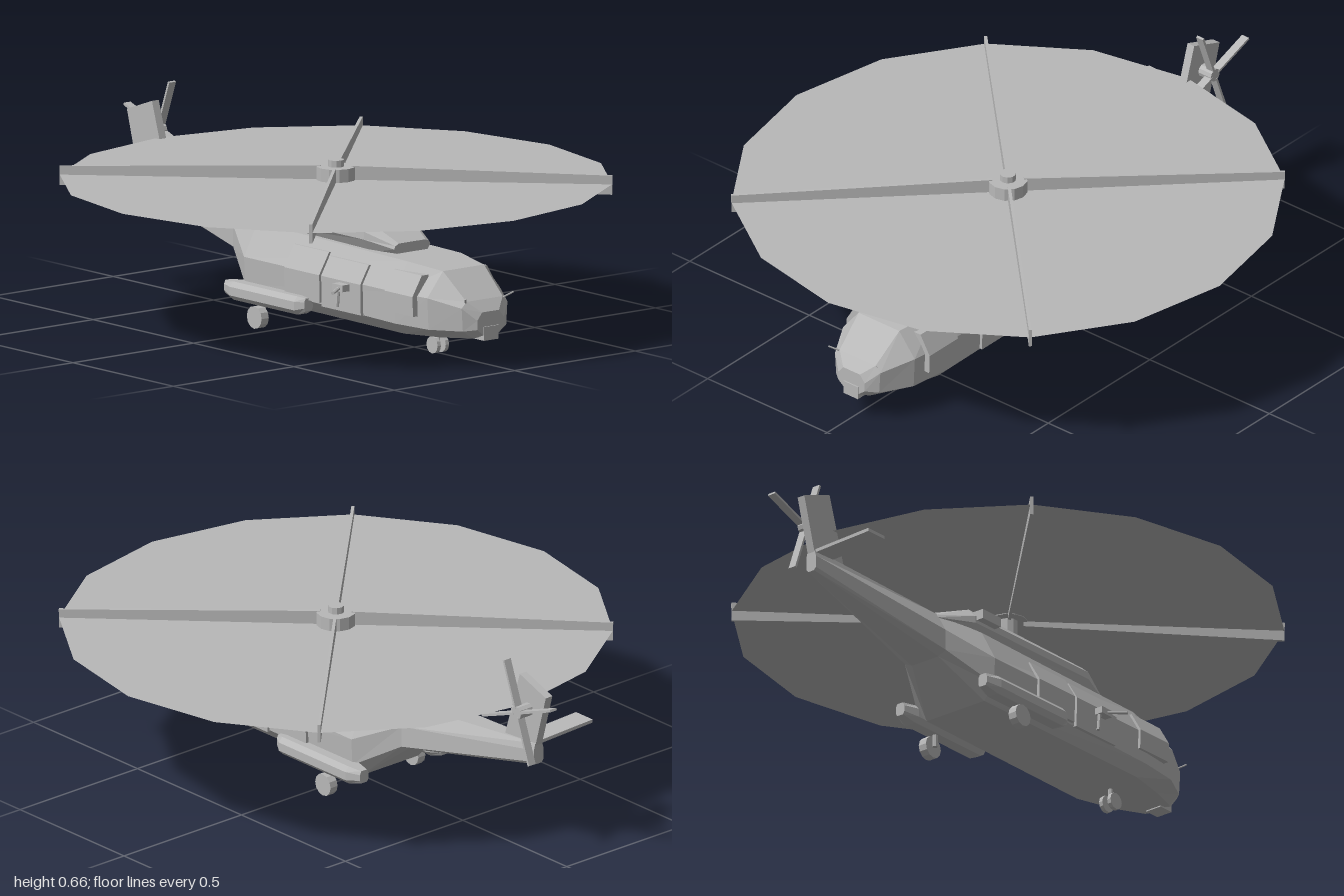
import * as THREE from 'three';

const grey = new THREE.MeshStandardMaterial({ color: 0xb8b8b8, flatShading: true });
const greyTwoSided = new THREE.MeshStandardMaterial({ color: 0xb8b8b8, flatShading: true, side: THREE.DoubleSide });

// Loft of symmetric rings; each station is [z, [x, y] ... up the left side], ordered front to back
function loft(stations) {
  const pos = [], idx = [], n = (stations[0].length - 1) * 2;
  for (const [z, ...half] of stations) {
    for (const [x, y] of half) pos.push(x, y, z);
    for (const [x, y] of half.slice().reverse()) pos.push(-x, y, z);
  }
  for (let i = 0; i < stations.length - 1; i++) {
    for (let k = 0; k < n; k++) {
      const a = i * n + k, b = i * n + (k + 1) % n, c = b + n, d = a + n;
      idx.push(a, d, c, a, c, b);
    }
  }
  const e = (stations.length - 1) * n;
  for (let k = 1; k < n - 1; k++) idx.push(0, k, k + 1, e, e + k + 1, e + k);
  const g = new THREE.BufferGeometry();
  g.setAttribute('position', new THREE.Float32BufferAttribute(pos, 3));
  g.setIndex(idx);
  const flat = g.toNonIndexed();
  flat.computeVertexNormals();
  return flat;
}

export function createModel() {
  const model = new THREE.Group();
  const add = (name, geo, x = 0, y = 0, z = 0, parent = model, mat = grey) => {
    const m = new THREE.Mesh(geo, mat);
    m.name = name;
    m.position.set(x, y, z);
    parent.add(m);
    return m;
  };
  const box = (name, w, h, d, x, y, z, parent) => add(name, new THREE.BoxGeometry(w, h, d), x, y, z, parent);
  const rod = (name, r, a, b) => {
    const A = new THREE.Vector3(...a), B = new THREE.Vector3(...b), dir = B.clone().sub(A);
    const m = add(name, new THREE.CylinderGeometry(r, r, dir.length(), 6), ...A.add(B).multiplyScalar(0.5).toArray());
    m.quaternion.setFromUnitVectors(new THREE.Vector3(0, 1, 0), dir.normalize());
  };

  // Fuselage and tail boom
  add('fuselage', loft([
    [0.88, [0.03, 0.1], [0.055, 0.12], [0.055, 0.15], [0.035, 0.175]],
    [0.85, [0.05, 0.088], [0.09, 0.115], [0.095, 0.19], [0.075, 0.21]],
    [0.745, [0.09, 0.08], [0.145, 0.112], [0.15, 0.215], [0.085, 0.295]],
    [0.6, [0.125, 0.075], [0.162, 0.112], [0.165, 0.215], [0.11, 0.308]],
    [-0.15, [0.12, 0.078], [0.16, 0.125], [0.165, 0.215], [0.11, 0.32]],
    [-0.3, [0.055, 0.2], [0.085, 0.215], [0.085, 0.285], [0.05, 0.35]],
    [-0.865, [0.012, 0.315], [0.02, 0.325], [0.02, 0.365], [0.014, 0.388]],
  ]));
  box('noseSensor', 0.06, 0.045, 0.055, 0, 0.105, 0.857);

  // Engine cowling on the roof
  add('engineCowling', loft([
    [0.49, [0.06, 0.305], [0.075, 0.325], [0.07, 0.335], [0.055, 0.342]],
    [0.38, [0.085, 0.3], [0.11, 0.345], [0.108, 0.37], [0.08, 0.395]],
    [-0.18, [0.085, 0.31], [0.11, 0.345], [0.108, 0.37], [0.08, 0.4]],
    [-0.31, [0.04, 0.325], [0.055, 0.335], [0.05, 0.345], [0.035, 0.355]],
  ]));

  // Raised side panels that follow the body section: [front z, back z, bottom y, top y]
  const panels = [[0.7, 0.56, 0.15, 0.28], [0.44, 0.245, 0.115, 0.275], [0.235, 0.06, 0.125, 0.285]];
  for (const s of [-1, 1]) {
    for (const [z0, z1, y0, y1] of panels) {
      const xt = 0.17 - (y1 - 0.215) * 0.59;
      const shape = new THREE.Shape([[0.14, y0], [0.172, y0], [0.174, 0.215], [xt + 0.004, y1], [xt - 0.025, y1]]
        .map(([x, y]) => new THREE.Vector2(s * x, y)));
      add('sidePanel', new THREE.ExtrudeGeometry(shape, { depth: z0 - z1, bevelEnabled: false }), 0, 0, z1);
    }

    box('engineExhaust', 0.05, 0.032, 0.09, s * 0.11, 0.372, -0.13);

    // Sponson with tapered ends
    add('sponson', loft([
      [0.18, [0.012, 0.09], [0.018, 0.1], [0.018, 0.12], [0.012, 0.132]],
      [0.15, [0.02, 0.076], [0.036, 0.092], [0.036, 0.12], [0.022, 0.136]],
      [-0.17, [0.02, 0.076], [0.036, 0.092], [0.036, 0.12], [0.022, 0.136]],
      [-0.22, [0.012, 0.09], [0.018, 0.1], [0.018, 0.12], [0.012, 0.132]],
    ]), s * 0.172);

    // Main and nose wheels
    for (const [name, r, w, x, z] of [['mainWheel', 0.037, 0.03, 0.187, -0.055], ['noseWheel', 0.028, 0.014, 0.017, 0.617]]) {
      const wheel = add(name, new THREE.CylinderGeometry(r, r, w, 12), s * x, r, z);
      wheel.rotation.z = Math.PI / 2;
    }
    rod('mainStrut', 0.009, [s * 0.165, 0.035, -0.055], [s * 0.165, 0.1, -0.055]);

    // Side gun on its mount
    rod('gunBarrel', 0.006, [s * 0.16, 0.2, 0.34], [s * 0.255, 0.192, 0.4]);
    rod('gunMount', 0.006, [s * 0.185, 0.13, 0.338], [s * 0.185, 0.2, 0.345]);
    box('gunBody', 0.03, 0.022, 0.05, s * 0.188, 0.197, 0.36);
    rod('noseProbe', 0.003, [s * 0.07, 0.2, 0.84], [s * 0.1, 0.225, 0.875]);
  }
  rod('noseStrut', 0.008, [0, 0.028, 0.617], [0, 0.09, 0.617]);

  // Main rotor: mast, hub, swept disc and four drooping blades
  const rotor = new THREE.Group();
  rotor.name = 'mainRotor';
  rotor.position.z = 0.11;
  model.add(rotor);
  add('mast', new THREE.CylinderGeometry(0.032, 0.032, 0.1, 10), 0, 0.435, 0, rotor);
  add('hub', new THREE.CylinderGeometry(0.063, 0.063, 0.045, 12), 0, 0.506, 0, rotor);
  add('hubCap', new THREE.CylinderGeometry(0.026, 0.026, 0.025, 10), 0, 0.538, 0, rotor);
  const disc = add('rotorDisc', new THREE.CircleGeometry(0.885, 16), 0, 0.486, 0, rotor, greyTwoSided);
  disc.rotation.x = -Math.PI / 2;
  for (let i = 0; i < 4; i++) {
    const g = new THREE.BoxGeometry(0.835, 0.062, 0.01).translate(0.4675, 0, 0).rotateZ(-0.02);
    add('rotorBlade', g, 0, 0.501, 0, rotor).rotation.y = Math.PI / 4 + i * Math.PI / 2;
  }

  // Tail fin, drawn as (z, y) and turned into the centre plane
  const fin = new THREE.Shape([[-0.72, 0.38], [-0.79, 0.605], [-0.915, 0.56], [-0.865, 0.38], [-0.865, 0.32], [-0.82, 0.33]]
    .map(([z, y]) => new THREE.Vector2(-z, y)));
  add('tailFin', new THREE.ExtrudeGeometry(fin, { depth: 0.028, bevelEnabled: false }).rotateY(Math.PI / 2), -0.014);
  box('stabilizer', 0.225, 0.011, 0.08, -0.122, 0.389, -0.82).rotation.z = -0.04;

  // Tail rotor on the left of the fin
  const tailRotor = new THREE.Group();
  tailRotor.name = 'tailRotor';
  tailRotor.position.set(0.054, 0.497, -0.832);
  model.add(tailRotor);
  add('tailHub', new THREE.CylinderGeometry(0.022, 0.022, 0.055, 10).rotateZ(Math.PI / 2), -0.015, 0, 0, tailRotor);
  for (let i = 0; i < 4; i++) {
    const g = new THREE.BoxGeometry(0.028, 0.16, 0.008).translate(0, 0.095, 0);
    add('tailBlade', g, 0, 0, 0, tailRotor).rotation.x = 0.35 + i * Math.PI / 2;
  }
  return model;
}
